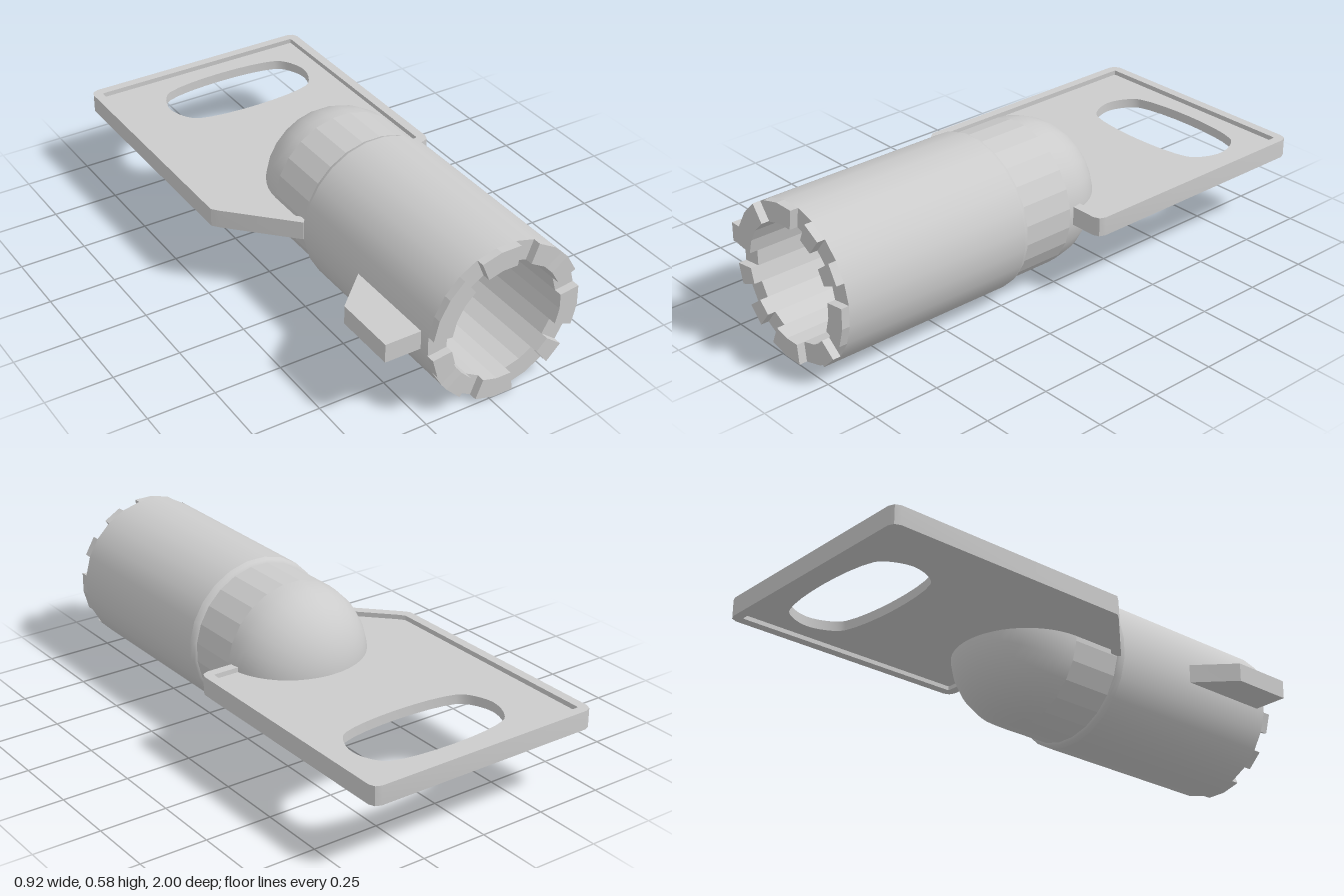
import * as THREE from 'three';
import { toCreasedNormals } from 'three/addons/utils/BufferGeometryUtils.js';

const AXIS_X = 0.055, AXIS_Y = 0.288; // centre line of the barrel
const R_OUT = 0.29, R_IN = 0.217, SIDES = 24;
const STEP = (Math.PI * 2) / SIDES;
const Y0 = 0.255, Y1 = 0.325; // underside and top of the flat parts

const smooth = new THREE.MeshStandardMaterial({ color: 0xcccccc });
const flat = new THREE.MeshStandardMaterial({ color: 0xcccccc, flatShading: true });

function addMesh(parent, name, geometry, material) {
  const mesh = new THREE.Mesh(geometry, material);
  mesh.name = name;
  parent.add(mesh);
  return mesh;
}

// Surface of revolution around z; profile is [radius, z] pairs
function revolve(parent, name, profile, material) {
  const points = profile.map(([r, z]) => new THREE.Vector2(r, z));
  const geometry = new THREE.LatheGeometry(points, SIDES, STEP / 2).rotateX(Math.PI / 2);
  return addMesh(parent, name, geometry, material);
}

// Outline in [x, z] (counter-clockwise after flipping z)
const planPoints = (list) => list.map(([x, z]) => new THREE.Vector2(x, -z));

// Plan shape extruded upward from y to y + height
function slab(parent, name, shape, y, height) {
  const geometry = new THREE.ExtrudeGeometry(shape, { depth: height, bevelEnabled: false, curveSegments: 8 });
  geometry.rotateX(-Math.PI / 2).translate(0, y, 0);
  return addMesh(parent, name, toCreasedNormals(geometry, 0.6), smooth);
}

// Handle outline, shrunk by an inset, with rounded outer corners
function handleOutline(inset) {
  const x0 = -0.46 + inset, x1 = 0.456 - inset, z0 = -1 + inset, z1 = -0.018 - inset;
  const c = inset ? 0.006 : 0.03;
  const k = inset * 0.41;
  return planPoints([
    [-0.23 + k, 0.208 - inset], [-0.1, 0.208 - inset], [-0.1, z1], [x1 - c, z1],
    [x1 - c * 0.3, z1 - c * 0.3], [x1, z1 - c],
    [x1, z0 + c], [x1 - c * 0.3, z0 + c * 0.3], [x1 - c, z0],
    [x0 + c, z0], [x0 + c * 0.3, z0 + c * 0.3], [x0, z0 + c],
    [x0, -0.035 - k], [x0 + 0.02, -0.01 - k],
  ]);
}

function buildBarrel() {
  const barrel = new THREE.Group();
  barrel.name = 'barrel';
  barrel.position.set(AXIS_X, AXIS_Y, 0);

  // Domed end
  const dome = [];
  for (let i = 0; i <= 12; i++) {
    const a = (i / 12) * Math.PI / 2;
    dome.push([0.275 * Math.sin(a), -0.262 * Math.cos(a)]);
  }
  revolve(barrel, 'dome', dome, smooth);
  revolve(barrel, 'neck', [[0.275, 0], [0.275, 0.2]], flat);
  revolve(barrel, 'collar', [[0.275, 0.2], [0.284, 0.206], [R_OUT, 0.222]], smooth);
  revolve(barrel, 'tube', [[R_OUT, 0.222], [R_OUT, 0.97]], smooth);
  revolve(barrel, 'tubeEnd', [[R_OUT, 0.97], [R_IN, 0.97]], flat);
  revolve(barrel, 'bore', [[R_IN, 0.97], [R_IN, 0.22]], flat);
  revolve(barrel, 'boreFloor', [[R_IN, 0.22], [0, 0.22]], flat);

  // Teeth: [first facet, number of facets], the gaps between them are notches
  const teeth = [[1, 1], [3, 1], [5, 2], [8, 3], [12, 1], [14, 1], [16, 2], [20, 1], [22, 2]];
  for (const [first, count] of teeth) {
    const outer = [], inner = [];
    for (let i = 0; i <= count; i++) {
      const a = (first + i + 0.5) * STEP;
      outer.push(new THREE.Vector2(R_OUT * Math.cos(a), R_OUT * Math.sin(a)));
      inner.unshift(new THREE.Vector2(R_IN * Math.cos(a), R_IN * Math.sin(a)));
    }
    const shape = new THREE.Shape([...outer, ...inner]);
    const geometry = new THREE.ExtrudeGeometry(shape, { depth: 0.03, bevelEnabled: false });
    addMesh(barrel, 'tooth', geometry.translate(0, 0, 0.97), flat);
  }
  return barrel;
}

function buildHandle() {
  const handle = new THREE.Group();
  handle.name = 'handle';

  // Raised rim around the edge
  const rim = new THREE.Shape(handleOutline(0));
  rim.holes.push(new THREE.Path(handleOutline(0.035)));
  slab(handle, 'handleRim', rim, Y0, Y1 - Y0);

  // Recessed web with an oblong hole
  const web = new THREE.Shape(handleOutline(0.03));
  const hole = new THREE.Path();
  const cx = 0.053, cz = 0.748;
  hole.moveTo(cx - 0.298, cz);
  hole.bezierCurveTo(cx - 0.298, cz + 0.04, cx - 0.27, cz + 0.105, cx - 0.235, cz + 0.118);
  hole.bezierCurveTo(cx - 0.14, cz + 0.156, cx + 0.14, cz + 0.156, cx + 0.235, cz + 0.118);
  hole.bezierCurveTo(cx + 0.27, cz + 0.105, cx + 0.298, cz + 0.04, cx + 0.298, cz);
  hole.bezierCurveTo(cx + 0.298, cz - 0.04, cx + 0.27, cz - 0.105, cx + 0.235, cz - 0.118);
  hole.bezierCurveTo(cx + 0.14, cz - 0.156, cx - 0.14, cz - 0.156, cx - 0.235, cz - 0.118);
  hole.bezierCurveTo(cx - 0.27, cz - 0.105, cx - 0.298, cz - 0.04, cx - 0.298, cz);
  web.holes.push(hole);
  slab(handle, 'handleWeb', web, Y0 + 0.016, Y1 - Y0 - 0.034);
  return handle;
}

export function createModel() {
  const model = new THREE.Group();
  model.name = 'tubularKey';
  model.add(buildBarrel(), buildHandle());

  // Guide fin on the side of the barrel
  const fin = new THREE.Shape(planPoints([
    [-0.2, 0.93], [-0.2, 0.53], [-0.23, 0.56], [-0.368, 0.69], [-0.368, 0.93],
  ]));
  slab(model, 'guideFin', fin, Y0, Y1 - Y0);
  return model;
}
